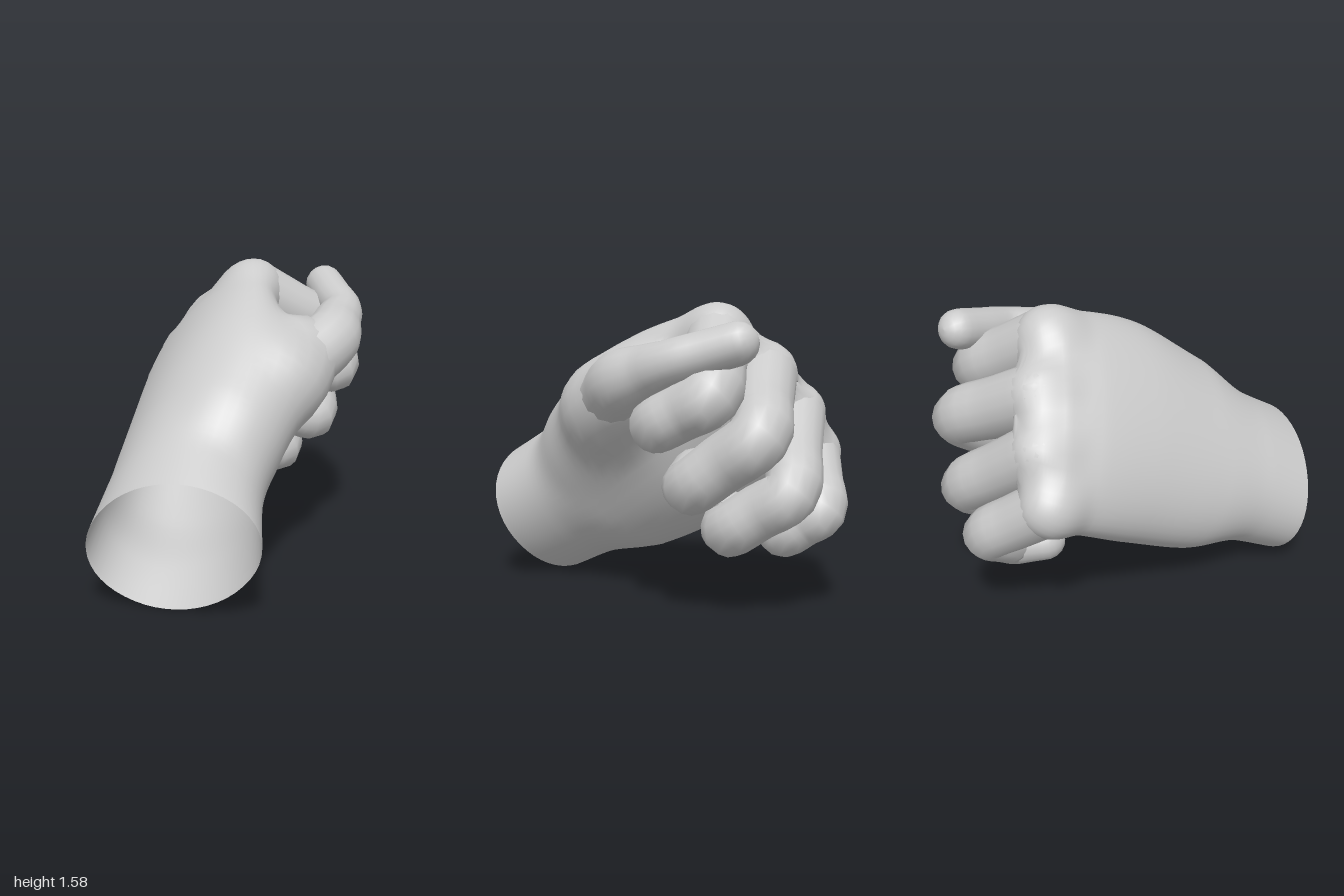
import * as THREE from 'three';

const V = (a) => new THREE.Vector3(...a);
const material = new THREE.MeshStandardMaterial({ color: 0xcccccc, side: THREE.DoubleSide });

// Directions of the hand: across the knuckles (towards the little finger) and out of its back
const ACROSS = V([-0.446, -0.743, -0.496]).normalize();
const ALONG = V([0.38, 0.38, -0.84]);
ALONG.addScaledVector(ACROSS, -ALONG.dot(ACROSS)).normalize();
const BACK = ALONG.clone().cross(ACROSS);
// The same two directions at the wrist opening, which is cut slightly askew
const WRIST_ACROSS = V([-0.505, -0.737, -0.45]);
const WRIST_BACK = V([-0.857, 0.465, -0.22]);

// Smooth skin through rings {c, u, v}: centre and two half axes; power > 1 squares the section
function loft(rings, sides, power = 1) {
  const pos = [], index = [];
  const bend = (t) => Math.sign(t) * Math.pow(Math.abs(t), 1 / power);
  rings.forEach(({ c, u, v }, i) => {
    for (let j = 0; j < sides; j++) {
      const a = (j / sides) * Math.PI * 2;
      const p = c.clone().addScaledVector(u, bend(Math.cos(a))).addScaledVector(v, bend(Math.sin(a)));
      pos.push(p.x, p.y, p.z);
      if (i === 0) continue;
      const k = (j + 1) % sides, r0 = (i - 1) * sides, r1 = i * sides;
      index.push(r0 + j, r0 + k, r1 + j, r0 + k, r1 + k, r1 + j);
    }
  });
  const geo = new THREE.BufferGeometry();
  geo.setAttribute('position', new THREE.Float32BufferAttribute(pos, 3));
  geo.setIndex(index);
  geo.computeVertexNormals();
  return geo;
}

// Push the skin out along its normals until it wraps a tapered limb, with a soft blend of width k
function swell(geo, from, to, k) {
  const pos = geo.attributes.position, nor = geo.attributes.normal;
  const a = V(from), ab = V(to).sub(a);
  for (let i = 0; i < pos.count; i++) {
    const p = new THREE.Vector3().fromBufferAttribute(pos, i);
    const n = new THREE.Vector3().fromBufferAttribute(nor, i);
    let s = 0;
    for (let step = 0; step < 24; step++) {
      const q = p.clone().addScaledVector(n, s);
      const t = THREE.MathUtils.clamp(q.clone().sub(a).dot(ab) / Math.max(ab.lengthSq(), 1e-6), 0, 1);
      const d = q.distanceTo(a.clone().addScaledVector(ab, t)) - THREE.MathUtils.lerp(from[3], to[3], t);
      const h = Math.max(k - Math.abs(s - d), 0) / k;
      s -= 0.6 * (Math.min(s, d) - (h * h * k) / 4);
    }
    p.addScaledVector(n, s);
    pos.setXYZ(i, p.x, p.y, p.z);
  }
  geo.computeVertexNormals();
}

// Finger: joints [x, y, z, radius] from knuckle to tip, round at both ends
function finger(name, joints) {
  const pts = [], radii = [];
  joints.forEach((p, i) => {
    if (i) {
      const q = joints[i - 1];
      pts.push(V(p).lerp(V(q), 0.5));
      radii.push((p[3] + q[3]) / 2);
    }
    pts.push(V(p));
    radii.push(p[3]);
  });
  const curve = new THREE.CatmullRomCurve3(pts);
  const n = (pts.length - 1) * 4, cap = 5;
  const rings = [];
  let u = BACK.clone();
  for (let i = -cap; i <= n + cap; i++) {
    const m = THREE.MathUtils.clamp(i, 0, n), k = Math.min(Math.floor(m / 4), pts.length - 2);
    const dir = curve.getTangent(m / n);
    const r = THREE.MathUtils.lerp(radii[k], radii[k + 1], m / 4 - k);
    const a = ((i - m) / cap) * Math.PI / 2, s = r * Math.max(Math.cos(a), 0.001);
    u = u.clone().addScaledVector(dir, -u.dot(dir)).normalize();
    rings.push({
      c: curve.getPoint(m / n).addScaledVector(dir, r * Math.sin(a)),
      u: u.clone().multiplyScalar(s),
      v: dir.clone().cross(u).multiplyScalar(s),
    });
  }
  const mesh = new THREE.Mesh(loft(rings, 16), material);
  mesh.name = name;
  return mesh;
}

// Open wrist, palm and closed knuckle end: [x, y, z, half width, half thickness]
function palm(knuckles) {
  const sections = [
    [-0.405, 0.367, 0.79, 0.43, 0.385],
    [-0.33, 0.49, 0.57, 0.43, 0.365],
    [-0.22, 0.64, 0.29, 0.52, 0.36],
    [-0.09, 0.87, -0.05, 0.59, 0.33],
    [-0.04, 1.03, -0.36, 0.58, 0.25],
    [-0.01, 1.1, -0.55, 0.55, 0.18],
    [0.03, 1.13, -0.63, 0.48, 0.1],
    [0.04, 1.14, -0.65, 0.001, 0.001],
  ];
  const centre = new THREE.CatmullRomCurve3(sections.map(V));
  const size = new THREE.CatmullRomCurve3(sections.map((s) => new THREE.Vector3(s[3], s[4], 0)));
  const rings = [];
  for (let i = 0; i <= 56; i++) {
    const s = size.getPoint(i / 56), turn = Math.min(i / 16, 1);
    rings.push({
      c: centre.getPoint(i / 56),
      u: WRIST_ACROSS.clone().lerp(ACROSS, turn).multiplyScalar(s.x),
      v: WRIST_BACK.clone().lerp(BACK, turn).multiplyScalar(s.y),
    });
  }
  const geo = loft(rings, 48, 1.04);
  // Ball of the thumb, the web beside it, then the knuckles
  swell(geo, [0.0, 0.85, 0.4, 0.2], [0.26, 1.04, 0.24, 0.2], 0.2);
  swell(geo, [0.26, 1.04, 0.24, 0.2], [0.42, 1.13, 0.14, 0.155], 0.12);
  swell(geo, [0.2, 1.1, 0.08, 0.16], [0.38, 1.18, 0.06, 0.14], 0.12);
  knuckles.forEach((k) => swell(geo, k, k, 0.1));
  const mesh = new THREE.Mesh(geo, material);
  mesh.name = 'palmAndWrist';
  return mesh;
}

export function createModel() {
  const fingers = {
    indexFinger: [
      [0.2, 1.4, -0.34, 0.17], [0.65, 1.15, -0.4, 0.15], [0.61, 0.995, -0.13, 0.135], [0.42, 0.99, -0.14, 0.11],
    ],
    middleFinger: [
      [0.06, 1.21, -0.55, 0.17], [0.58, 0.95, -0.62, 0.15], [0.53, 0.69, -0.28, 0.14], [0.32, 0.73, -0.25, 0.12],
    ],
    ringFinger: [
      [-0.08, 1.0, -0.69, 0.16], [0.41, 0.66, -0.75, 0.14], [0.37, 0.455, -0.44, 0.14], [0.17, 0.5, -0.39, 0.115],
    ],
    littleFinger: [
      [-0.2, 0.78, -0.77, 0.145], [0.14, 0.53, -0.86, 0.135], [0.14, 0.4, -0.68, 0.125], [0.02, 0.41, -0.59, 0.105],
    ],
  };
  const hand = new THREE.Group();
  hand.name = 'hand';
  hand.add(palm(Object.values(fingers).map((joints) => joints[0])));
  for (const [name, joints] of Object.entries(fingers)) hand.add(finger(name, joints));
  hand.add(finger('thumb', [
    [0.28, 1.05, 0.24, 0.17], [0.54, 1.2, 0.06, 0.16], [0.67, 1.3, -0.2, 0.11], [0.655, 1.395, -0.53, 0.105],
  ]));
  return hand;
}
